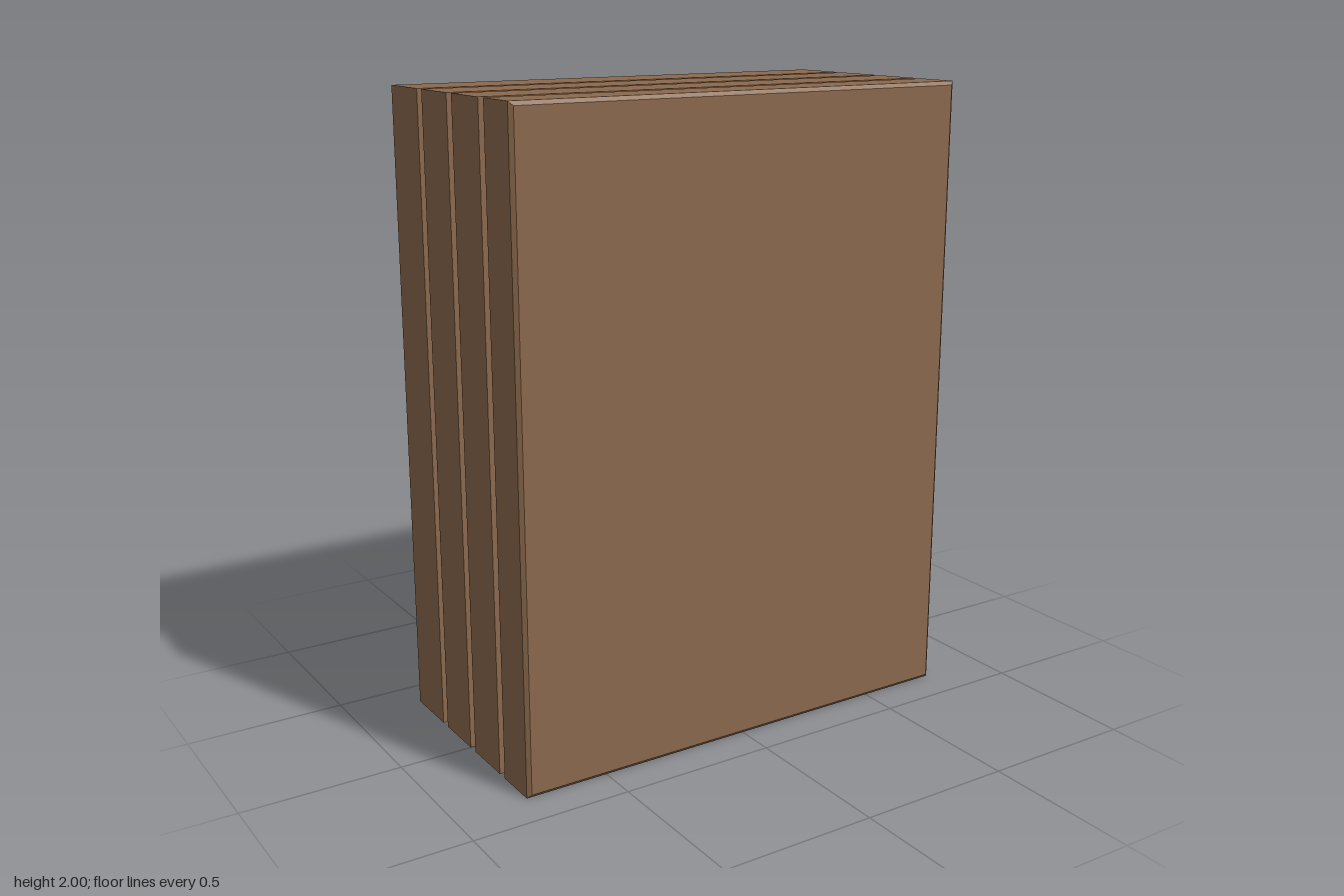
import * as THREE from 'three';

const WIDTH = 1.536, HEIGHT = 2, GROOVE = 0.022, BEVEL = 0.012;

export function createModel() {
  const group = new THREE.Group();
  const wood = new THREE.MeshStandardMaterial({ color: 0x8a684c });
  wood.name = 'brown wood';

  // Box spanning two depths, inset equally from all four sides
  function slab(name, back, front, inset = 0) {
    const geometry = new THREE.BoxGeometry(WIDTH - 2 * inset, HEIGHT - 2 * inset, front - back);
    const mesh = new THREE.Mesh(geometry, wood);
    mesh.name = name;
    mesh.position.set(0, HEIGHT / 2, (front + back) / 2);
    group.add(mesh);
    return mesh;
  }

  // Four thick panels, back to front
  const panels = [[-0.384, -0.2], [-0.168, 0], [0.032, 0.2], [0.232, 0.374]];
  panels.forEach(([back, front], i) => {
    slab(`panel${i + 1}`, back, front);
    // Recessed core at the bottom of each groove
    if (i < panels.length - 1) slab(`grooveCore${i + 1}`, front, panels[i + 1][0], GROOVE);
  });

  // Bevelled front face: pull the front corners inwards
  const face = slab('bevelledFrontFace', 0.374, 0.384);
  const p = face.geometry.attributes.position;
  for (let i = 0; i < p.count; i++) {
    if (p.getZ(i) > 0) {
      p.setX(i, p.getX(i) - Math.sign(p.getX(i)) * BEVEL);
      p.setY(i, p.getY(i) - Math.sign(p.getY(i)) * BEVEL);
    }
  }
  face.geometry.computeVertexNormals();

  return group;
}
